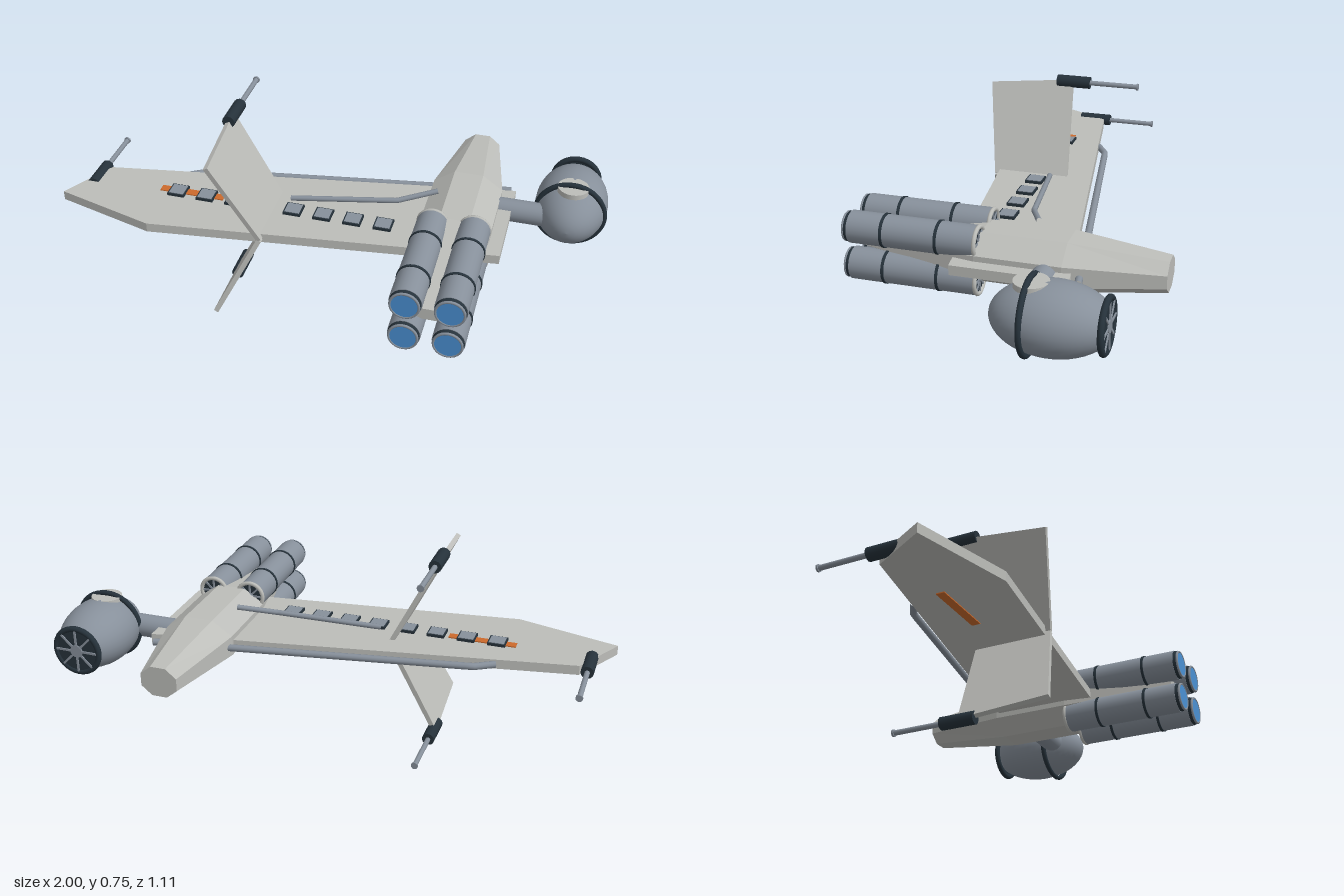
import * as THREE from 'three';

const mat = (name, color) => {
  const m = new THREE.MeshStandardMaterial({ color });
  m.name = name;
  return m;
};

export function createModel() {
  const hull = mat('hull grey', 0xbcbdb9);
  const steel = mat('steel', 0x87909b);
  const dark = mat('dark metal', 0x26323b);
  const blue = mat('engine glow', 0x4a90d2);
  const orange = mat('orange marking', 0xcc6a2c);
  const model = new THREE.Group();
  model.name = 'spacecraft';
  const MID = 0.376;

  const add = (name, geo, material, x = 0, y = 0, z = 0, parent = model) => {
    const mesh = new THREE.Mesh(geo, material);
    mesh.name = name;
    mesh.position.set(x, y, z);
    parent.add(mesh);
    return mesh;
  };
  const group = (name, x, y, z) => {
    const g = new THREE.Group();
    g.name = name;
    g.position.set(x, y, z);
    model.add(g);
    return g;
  };
  // cylinder along z, from z0 (radius r0) to z1 (radius r1)
  const rod = (z0, z1, r0, r1 = r0, sides = 24) =>
    new THREE.CylinderGeometry(r1, r0, z1 - z0, sides).rotateX(Math.PI / 2).translate(0, 0, (z0 + z1) / 2);
  const polygon = (pts) => new THREE.Shape(pts.map(([a, b]) => new THREE.Vector2(a, b)));
  const slab = (pts, depth) => new THREE.ExtrudeGeometry(polygon(pts), { depth, bevelEnabled: false });

  // main wing, a flat plate
  const wing = slab([[-1, 0.2], [-0.62, 0.305], [0.65, 0.15], [0.65, -0.26], [-0.89, 0]], 0.036);
  add('mainWing', wing.rotateX(Math.PI / 2), hull, 0, 0.394, 0);

  // octagonal body, tapered toward both ends: [z, half width, half height]
  const sections = [[0.5, 0.06, 0.022], [0.08, 0.13, 0.091], [-0.22, 0.13, 0.091], [-0.555, 0.068, 0.056]];
  const body = new THREE.CylinderGeometry(1, 1, 3, 8, 3).rotateY(Math.PI / 8).rotateX(Math.PI / 2).toNonIndexed();
  const p = body.attributes.position;
  const k = 1 / Math.cos(Math.PI / 8);
  for (let i = 0; i < p.count; i++) {
    const [z, w, h] = sections[Math.round(1.5 - p.getZ(i))];
    p.setXYZ(i, p.getX(i) * w * k, p.getY(i) * h * k, z);
  }
  body.computeVertexNormals();
  add('body', body, hull, 0.472, MID, 0);

  // four engines
  for (const x of [0.395, 0.547]) for (const s of [1, -1]) {
    const e = group('engine', x, MID - 0.004 + s * 0.068, 0);
    add('engineCasing', rod(0.085, 0.535, 0.057), steel, 0, 0, 0, e);
    for (const z of [0.215, 0.41]) add('engineBand', rod(z - 0.005, z + 0.005, 0.06), dark, 0, 0, 0, e);
    add('nozzle', rod(0.535, 0.55, 0.055, 0.052), dark, 0, 0, 0, e);
    add('nozzleRim', new THREE.TorusGeometry(0.049, 0.005, 8, 24), steel, 0, 0, 0.55, e);
    add('nozzleGlow', rod(0.549, 0.553, 0.046), blue, 0, 0, 0, e);
    add('intakeRim', new THREE.TorusGeometry(0.052, 0.008, 8, 24), hull, 0, 0, 0.08, e);
    add('intakeFan', rod(0.08, 0.086, 0.05), dark, 0, 0, 0, e);
    add('intakeHub', rod(0.07, 0.082, 0.008, 0.014, 12), steel, 0, 0, 0, e);
    for (let i = 0; i < 4; i++)
      add('fanBlade', new THREE.BoxGeometry(0.098, 0.007, 0.006), steel, 0, 0, 0.079, e).rotation.z = i * Math.PI / 4;
  }

  // cockpit pod: egg with a cut rear end
  const pod = group('cockpitPod', 0.86, MID, -0.265);
  const profile = [new THREE.Vector2(0, -0.17)];
  const a0 = Math.asin(-0.17 / 0.2);
  for (let i = 0; i <= 20; i++) {
    const a = a0 + (Math.PI / 2 - a0) * i / 20;
    profile.push(new THREE.Vector2(Math.max(0, Math.cos(a)), 0.2 * Math.sin(a)));
  }
  add('podShell', new THREE.LatheGeometry(profile, 32).scale(0.134, 1, 0.119).rotateX(Math.PI / 2), steel, 0, 0, 0, pod);
  add('podBand', new THREE.TorusGeometry(0.126, 0.01, 10, 40), dark, 0, 0, 0.07, pod);
  add('podRearRing', new THREE.TorusGeometry(0.086, 0.011, 10, 32), dark, 0, 0, -0.17, pod);
  add('podRearWindow', rod(-0.176, -0.165, 0.084, 0.084, 32), dark, 0, 0, 0, pod);
  add('windowHub', rod(-0.181, -0.17, 0.024), steel, 0, 0, 0, pod);
  for (let i = 0; i < 4; i++)
    add('windowBar', new THREE.BoxGeometry(0.165, 0.008, 0.008), steel, 0, 0, -0.176, pod).rotation.z = i * Math.PI / 4;
  add('podHatch', new THREE.CylinderGeometry(0.057, 0.057, 0.02, 24), hull, 0, 0.108, 0.066, pod);

  // arm joining the pod to the body
  add('podArm', new THREE.CylinderGeometry(0.043, 0.043, 0.2, 24).rotateZ(Math.PI / 2), steel, 0.67, MID - 0.003, -0.163);

  // slanted fins, mirrored above and below
  const fin = [[-0.02, 0], [0.272, 0], [0.332, 0.36], [0.004, 0.395]];
  for (const s of [1, -1]) {
    const up = new THREE.Vector3(-0.447, 0.894 * s, 0);
    const along = new THREE.Vector3(0, 0, 1);
    const basis = new THREE.Matrix4().makeBasis(along, up, along.clone().cross(up));
    const geo = slab(fin, 0.018).translate(0, 0, -0.009).applyMatrix4(basis);
    add(s > 0 ? 'upperFin' : 'lowerFin', geo, hull, -0.2, MID, 0);
  }

  // guns on the fin tips and the wing tip
  for (const [x, y, z] of [[-0.37, MID + 0.349, 0], [-0.37, MID - 0.351, 0], [-0.92, 0.383, 0.043]]) {
    const g = group('gun', x, y, z);
    add('gunHousing', rod(-0.065, 0.065, 0.0235, 0.0235, 12), dark, 0, 0, 0, g);
    add('gunBarrel', rod(-0.25, -0.065, 0.0095, 0.0095, 12), steel, 0, 0, 0, g);
    add('gunMuzzle', rod(-0.256, -0.249, 0.013, 0.013, 12), steel, 0, 0, 0, g);
  }

  // pipes over the wing and along its rear edge
  const pipe = (name, pts, r) => {
    const path = new THREE.CurvePath();
    const v = pts.map((q) => new THREE.Vector3(...q));
    for (let i = 1; i < v.length; i++) path.add(new THREE.LineCurve3(v[i - 1], v[i]));
    add(name, new THREE.TubeGeometry(path, 48, r, 10), steel);
  };
  pipe('upperPipe', [[-0.15, 0.412, 0.035], [0.24, 0.437, -0.02], [0.38, 0.465, -0.08]], 0.01);
  pipe('rearPipe', [[-0.6, MID, -0.05], [-0.53, MID, -0.092], [0.34, MID, -0.236], [0.63, MID, -0.284]], 0.013);

  // row of raised wing panels
  for (let i = 0; i < 8; i++) {
    const x = -0.58 + i * 0.1137;
    add('panelFrame', new THREE.BoxGeometry(0.066, 0.012, 0.066), dark, x, 0.398, 0.085);
    add('panelTop', new THREE.BoxGeometry(0.056, 0.006, 0.056), steel, x, 0.403, 0.085);
  }

  // orange stripes above and below the wing
  for (const y of [0.395, 0.357])
    add('wingStripe', new THREE.BoxGeometry(0.25, 0.006, 0.032), orange, -0.525, y, 0.08);

  return model;
}
